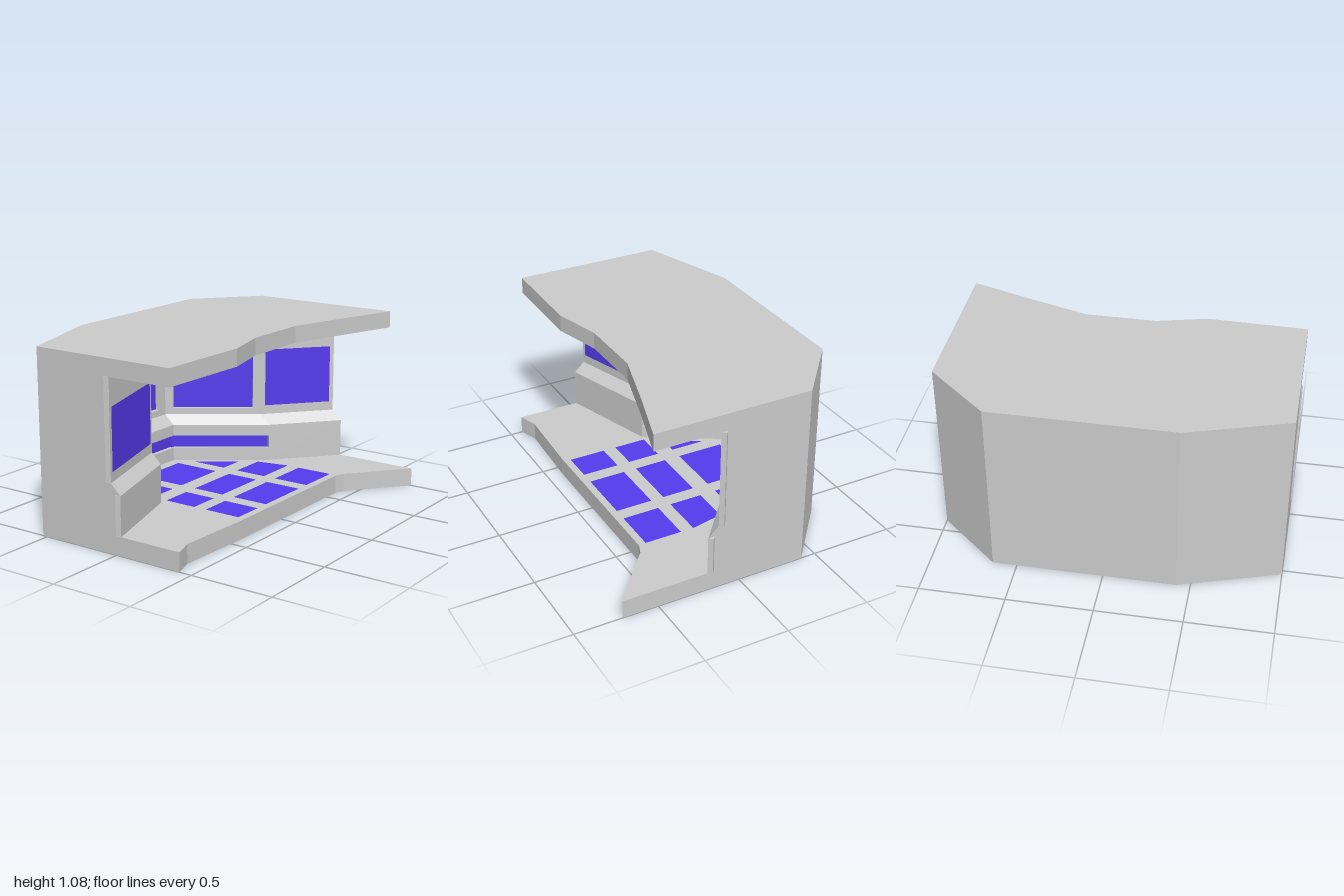
import * as THREE from 'three';

const grey = new THREE.MeshStandardMaterial({ color: 0xcccccc, flatShading: true, side: THREE.DoubleSide });
const blue = new THREE.MeshStandardMaterial({ color: 0x563aee, flatShading: true, side: THREE.DoubleSide });

const FLOOR = 0.11, LEDGE = 0.34, SILL = 0.4, COVE = 0.88, CEIL = 0.98, TOP = 1.08, DEPTH = 0.03;

// Plan points [x, z], from the model's right to its left
const back = [[-1, -0.53], [-0.42, -0.72], [0.64, -0.72], [1, -0.41]];
const lower = [[-1, 0.035], [-0.42, -0.147], [-0.145, -0.6], [0.29, -0.6], [0.64, -0.11], [1, 0.2]];
const shifted = (pts, dz) => pts.map(([x, z]) => [x, z + dz]);
const upper = shifted(lower, -0.063);
const coveTop = shifted(upper, 0.08);
const roofFront = [[1, 0.53], [0.64, 0.413], [0.28, 0.305], [-0.13, 0.305], [-0.42, 0.38], [-1, 0.37]];
const floorFront = [[1, 0.715], [0.66, 0.43], [0.6, 0.407], [-0.42, 0.405], [-0.88, 0.385], [-1, 0.425]];

export function createModel() {
  const model = new THREE.Group();

  const add = (name, geometry, material = grey) => {
    const mesh = new THREE.Mesh(geometry, material);
    mesh.name = name;
    model.add(mesh);
    return mesh;
  };

  const planShape = (pts) => new THREE.Shape(pts.map(([x, z]) => new THREE.Vector2(x, -z)));

  // Horizontal slab with a plan outline
  const slab = (name, pts, y0, y1) => {
    const g = new THREE.ExtrudeGeometry(planShape(pts), { depth: y1 - y0, bevelEnabled: false });
    add(name, g.rotateX(-Math.PI / 2).translate(0, y0, 0));
  };

  // Four-sided face between a lower edge and an upper edge
  const face = (name, a, b, y0, c, d, y1) => {
    const g = new THREE.BufferGeometry();
    g.setAttribute('position', new THREE.Float32BufferAttribute(
      [a[0], y0, a[1], b[0], y0, b[1], d[0], y1, d[1], c[0], y1, c[1]], 3));
    g.setIndex([0, 1, 2, 0, 2, 3]);
    g.computeVertexNormals();
    add(name, g);
  };

  const rect = (C, x0, x1, y0, y1) => new C([[x0, y0], [x1, y0], [x1, y1], [x0, y1]]
    .map(([x, y]) => new THREE.Vector2(x, y)));

  // Stand a mesh on the line from a to b, local z being the way it faces
  const stand = (mesh, a, b) => {
    mesh.position.set(a[0], 0, a[1]);
    mesh.rotation.y = -Math.atan2(b[1] - a[1], b[0] - a[0]);
  };
  const length = (a, b) => Math.hypot(b[0] - a[0], b[1] - a[1]);
  const along = (a, b, x) => (x - a[0]) / (b[0] - a[0]) * length(a, b);

  // Wall panel with an optional window opening
  const panel = (name, a, b, y0, y1, hole) => {
    const s = rect(THREE.Shape, 0, length(a, b), y0, y1);
    if (hole) s.holes.push(rect(THREE.Path, ...hole));
    const g = new THREE.ExtrudeGeometry(s, { depth: DEPTH, bevelEnabled: false });
    stand(add(name, g.translate(0, 0, -DEPTH)), a, b);
  };
  const pane = (name, a, b, area, z) => {
    const g = new THREE.ShapeGeometry(rect(THREE.Shape, ...area));
    stand(add(name, g.translate(0, 0, z), blue), a, b);
  };

  // Floor, roof and outer shell
  slab('floor', [...back, ...floorFront], 0, FLOOR);
  slab('roof', [...back, ...roofFront], CEIL, TOP);
  for (let i = 0; i < 3; i++) face('backWall', back[i + 1], back[i], FLOOR, back[i + 1], back[i], CEIL);
  for (const i of [0, 5]) {
    const zb = back[i ? 3 : 0][1], zl = lower[i][1], zu = upper[i][1];
    const profile = [[zb, FLOOR], [zl, FLOOR], [zl, LEDGE], [zu, SILL], [zu, CEIL], [zb, CEIL]];
    const s = new THREE.Shape(profile.map(([z, y]) => new THREE.Vector2(-z, y)));
    add('endWall', new THREE.ShapeGeometry(s).rotateY(Math.PI / 2).translate(lower[i][0], 0, 0));
  }

  // Front walls: [x0, x1] of the window in each of the five bays
  const windows = [[-0.98, -0.445], [-0.4, -0.18], [-0.09, 0.23], [0.32, 0.61], [0.66, 0.98]];
  windows.forEach(([x0, x1], i) => {
    const [a, b, c, d] = [lower[i], lower[i + 1], upper[i], upper[i + 1]];
    const alcove = i > 0 && i < 4;
    const w0 = along(c, d, x0), w1 = along(c, d, x1);
    face('ledge', a, b, LEDGE, c, d, SILL);
    if (alcove) {
      // Recessed windows, a recessed strip below and a sloping cove above
      panel('alcoveWall', c, d, SILL, COVE, [w0, w1, 0.44, 0.83]);
      pane('alcoveWindow', c, d, [w0 - 0.005, w1 + 0.005, 0.435, 0.835], -DEPTH + 0.001);
      panel('alcoveBase', a, b, FLOOR, 0.19);
      panel('alcoveBase', a, b, 0.27, LEDGE);
      pane('stripLight', a, b, [-0.015, length(a, b) + 0.015, 0.185, 0.275], -DEPTH + 0.001);
      face('cove', c, d, COVE, coveTop[i], coveTop[i + 1], CEIL);
    } else {
      panel('sideBayBase', a, b, FLOOR, LEDGE);
      panel('sideBayWall', c, d, SILL, CEIL);
      pane('sideBayWindow', c, d, [w0, w1, 0.457, 0.815], 0.003);
    }
  });
  for (const i of [1, 4]) face('coveEnd', upper[i], upper[i], COVE, upper[i], coveTop[i], CEIL);

  // Floor tiles: three rows, with the side columns trimmed to the alcove
  const tile = (pts) => add('floorTile',
    new THREE.ShapeGeometry(planShape(pts)).rotateX(-Math.PI / 2).translate(0, FLOOR + 0.003, 0), blue);
  for (const [z0, z1] of [[-0.53, -0.24], [-0.14, 0.06], [0.14, 0.365]]) {
    tile([[-0.105, z0], [0.245, z0], [0.245, z1], [-0.105, z1]]);
    if (z0 < -0.5) {
      tile([[-0.19, -0.45], [-0.19, z1], [-0.32, z1]]);
      tile([[0.33, -0.47], [0.33, z1], [0.49, z1]]);
    } else {
      const xr = z0 < 0 ? 0.56 : 0.6;
      tile([[-0.38, z0], [-0.19, z0], [-0.19, z1], [-0.38, z1]]);
      tile([[0.33, z0], [xr, z0], [0.6, z1], [0.33, z1]]);
    }
  }
  return model;
}
